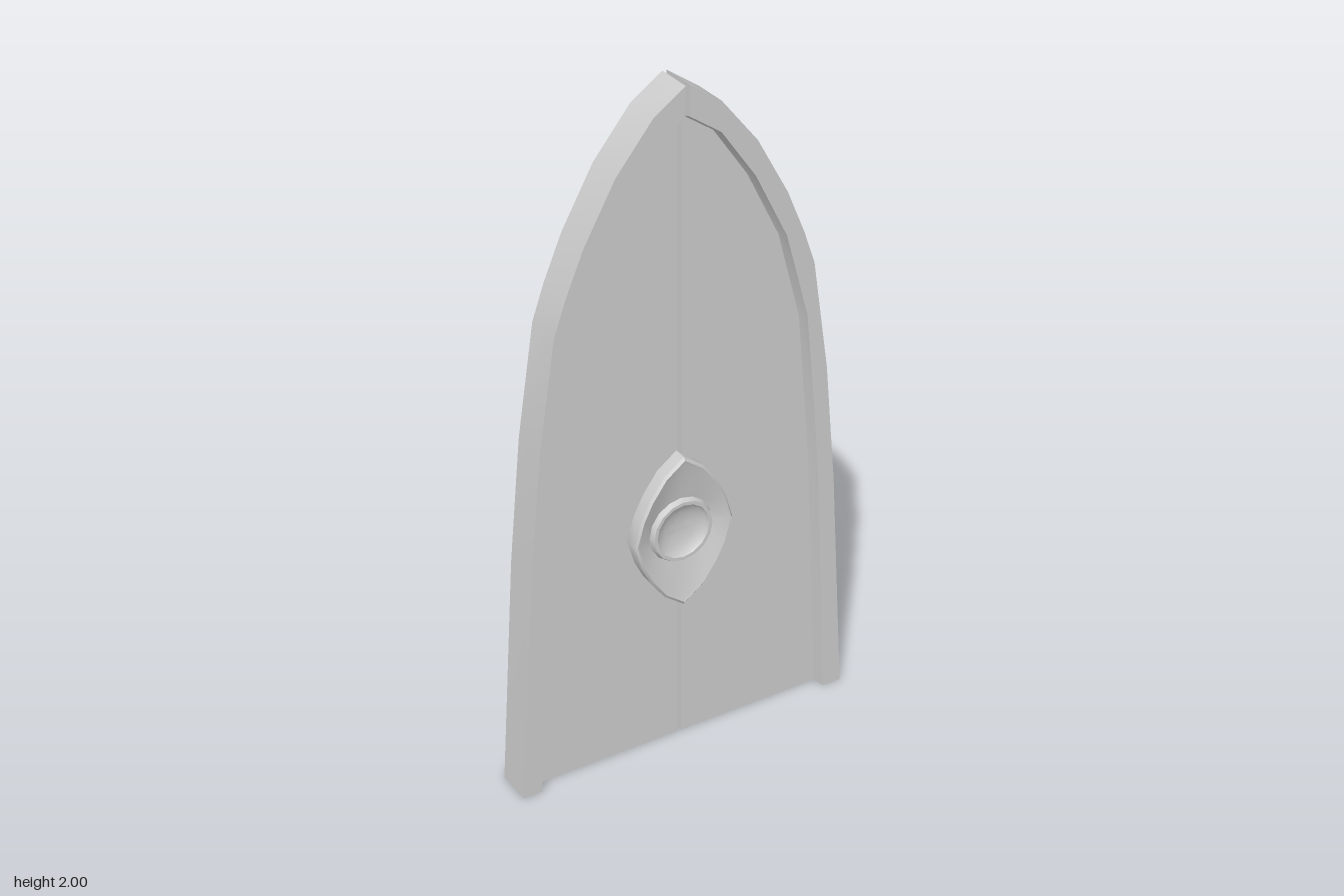
import * as THREE from 'three';
import { toCreasedNormals } from 'three/addons/utils/BufferGeometryUtils.js';

const BACK = -0.06, PANEL = 0.012, FRONT = 0.05, GAP = 0.006;
const V = (x, y, z) => new THREE.Vector3(x, y, z);

// Skins a list of equal-length rings and caps both ends with a fan from vertex `hub`.
function loft(rings, { flip = false, hub = 0, crease = 0.5 } = {}) {
  const pos = [];
  const tri = (a, b, c) => {
    const area = b.clone().sub(a).cross(c.clone().sub(a)).length();
    if (area < 1e-9) return;
    for (const p of flip ? [a, c, b] : [a, b, c]) pos.push(p.x, p.y, p.z);
  };
  const n = rings[0].length;
  for (let i = 0; i < rings.length - 1; i++) {
    for (let j = 0; j < n; j++) {
      const k = (j + 1) % n;
      tri(rings[i][j], rings[i][k], rings[i + 1][k]);
      tri(rings[i][j], rings[i + 1][k], rings[i + 1][j]);
    }
  }
  const first = rings[0], last = rings[rings.length - 1];
  for (let j = 1; j < n - 1; j++) {
    const a = (hub + j) % n, b = (hub + j + 1) % n;
    tri(first[hub], first[b], first[a]);
    tri(last[hub], last[a], last[b]);
  }
  const geo = new THREE.BufferGeometry();
  geo.setAttribute('position', new THREE.Float32BufferAttribute(pos, 3));
  return toCreasedNormals(geo, crease);
}

// Half of the pointed arch: outer edge and inner edge of the raised border
const OUTER = [[0.525, 0], [0.48, 0.7], [0.445, 1.07], [0.395, 1.4], [0.36, 1.5],
  [0.305, 1.63], [0.21, 1.8], [0.1, 1.935], [GAP, 2]];
const INNER = [[0.46, 0], [0.42, 0.75], [0.402, 0.95], [0.375, 1.23], [0.34, 1.36],
  [0.305, 1.49], [0.205, 1.69], [0.1, 1.84], [GAP, 1.905]];

// One door leaf: panel and border as a single cross-section swept up the arch
function leafGeometry(side) {
  const rings = OUTER.map(([ox, oy], i) => {
    const [ix, iy] = INNER[i];
    const cx = ix + (ox - ix) * 0.1, cy = iy + (oy - iy) * 0.1;
    return [
      V(side * ox, oy, BACK), V(side * ox, oy, FRONT),
      V(side * cx, cy, FRONT), V(side * ix, iy, PANEL),
      V(side * GAP, iy, PANEL), V(side * GAP, oy, BACK),
    ];
  });
  return loft(rings, { flip: side > 0, hub: 3, crease: 0.4 });
}

// Pointed lozenge outline, four steps per quarter, counter-clockwise from +x
function lozenge() {
  const quarter = [[0.155, 0], [0.133, 0.075], [0.105, 0.13], [0.06, 0.192], [0, 0.236]];
  const pts = [];
  const flipX = quarter.map(([x, y]) => [-x, y]).reverse();
  const half = [...quarter.slice(0, -1), ...flipX.slice(0, -1)];
  for (const s of [1, -1]) for (const [x, y] of half) pts.push([s * x, s * y]);
  return pts;
}

// Lock plate: raised rim, dished face, ringed round bowl in the middle
function plateGeometry() {
  const outline = lozenge();
  const scaled = (s, z) => outline.map(([x, y]) => V(x * s, y * s, z));
  const circle = (r, z) => outline.map((_, i) => {
    const a = (i / outline.length) * Math.PI * 2;
    return V(r * Math.cos(a), r * Math.sin(a), z);
  });
  return loft([
    scaled(1, PANEL - 0.001), scaled(1, 0.05), scaled(0.96, 0.057), scaled(0.9, 0.053),
    circle(0.098, 0.034), circle(0.092, 0.05), circle(0.082, 0.05),
    circle(0.074, 0.04), circle(0.05, 0.031), circle(0.025, 0.026), circle(0.004, 0.025),
  ], { crease: 0.7 });
}

export function createModel() {
  const group = new THREE.Group();
  group.name = 'archedDoubleDoor';
  const material = new THREE.MeshStandardMaterial({ color: 0xcccccc });
  const add = (name, geometry) => {
    const mesh = new THREE.Mesh(geometry, material);
    mesh.name = name;
    group.add(mesh);
    return mesh;
  };
  add('leftLeaf', leafGeometry(1));
  add('rightLeaf', leafGeometry(-1));
  add('lockPlate', plateGeometry()).position.set(-0.01, 0.695, 0);
  return group;
}
